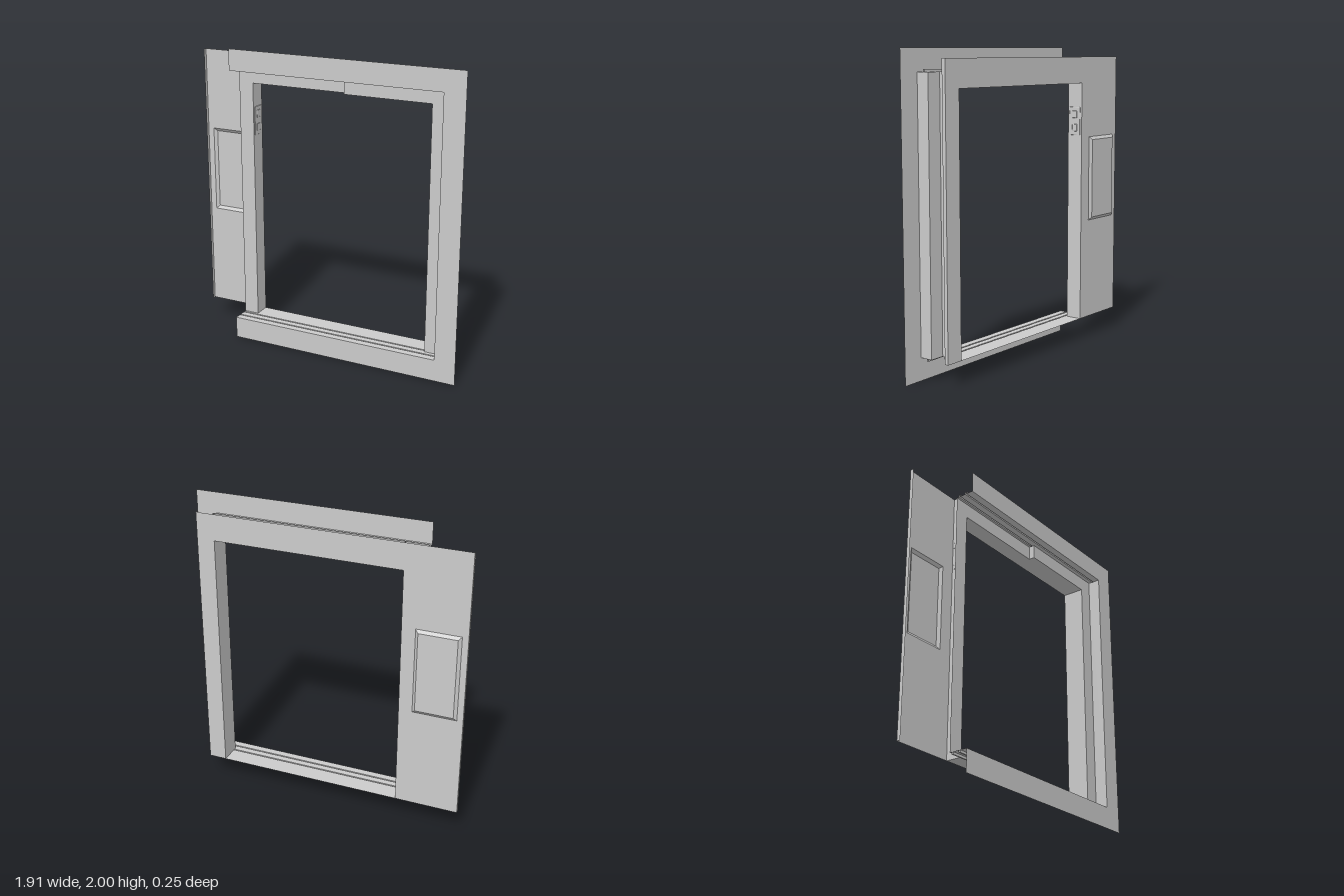
import * as THREE from 'three';
import { RoundedBoxGeometry } from 'three/addons/geometries/RoundedBoxGeometry.js';

const material = new THREE.MeshStandardMaterial({ color: 0xcccccc, side: THREE.DoubleSide });

// Main levels of the opening
const FRONT = 0.125, BACK = -0.11, LIP = -0.085, STEP = 0.04, MID = 0;
const SILL = 0.145, HEAD = 1.86, SOFFIT = 1.765, TOP = 1.94;
const OUT_L = -0.64, IN_L = -0.54, IN_R = 0.71, OUT_R = 0.81, SPLIT = 0.13;

export function createModel() {
  const model = new THREE.Group();
  model.name = 'slidingDoorFrame';

  const add = (name, geometry) => {
    const mesh = new THREE.Mesh(geometry, material);
    mesh.name = name;
    model.add(mesh);
    return mesh;
  };

  // Flat-shaded sheet between two matching rows of [x, y, z] points
  const sheet = (name, a, b) => {
    const pos = [];
    for (let i = 0; i < a.length - 1; i++) {
      pos.push(...a[i], ...a[i + 1], ...b[i + 1], ...a[i], ...b[i + 1], ...b[i]);
    }
    const g = new THREE.BufferGeometry();
    g.setAttribute('position', new THREE.Float32BufferAttribute(pos, 3));
    g.computeVertexNormals();
    return add(name, g);
  };

  // Sheet from a [z, y] section, run along x
  const alongX = (name, x0, x1, section) => sheet(name,
    section.map(([z, y]) => [x0, y, z]), section.map(([z, y]) => [x1, y, z]));

  // Sheet from an [x, z] section, run along y
  const alongY = (name, y0, y1, section) => sheet(name,
    section.map(([x, z]) => [x, y0, z]), section.map(([x, z]) => [x, y1, z]));

  const flat = (name, points, z, hole) => {
    const shape = new THREE.Shape(points.map(p => new THREE.Vector2(...p)));
    if (hole) shape.holes.push(new THREE.Path(hole.map(p => new THREE.Vector2(...p))));
    add(name, new THREE.ShapeGeometry(shape)).position.z = z;
  };

  const rect = (x0, y0, x1, y1) => [[x0, y0], [x1, y0], [x1, y1], [x0, y1]];

  // Front trim, open on the left side
  flat('frontTrim', [[OUT_L, 0], [0.95, 0], [0.95, 2], [OUT_L, 2],
    [OUT_L, HEAD], [OUT_R, HEAD], [OUT_R, SILL], [OUT_L, SILL]], FRONT);

  // Sill and head, with a narrow track groove in each run
  const grooved = (z0, z1, zg, y, d) => [[z0, y], [zg + 0.005, y], [zg + 0.005, y + d],
    [zg - 0.005, y + d], [zg - 0.005, y], [z1, y]];
  alongX('frontSillTrack', OUT_L, OUT_R, grooved(FRONT, STEP, 0.072, SILL, -0.015));
  alongX('rearSillTrack', OUT_L, IN_R, grooved(STEP, MID, 0.02, SILL, -0.015));
  alongX('sill', IN_L, IN_R, [[MID, SILL], [BACK, SILL]]);
  alongX('frontHeadTrack', OUT_L, OUT_R, grooved(FRONT, STEP, 0.072, HEAD, 0.015));
  alongX('rearHeadTrack', OUT_L, SPLIT, grooved(STEP, MID, 0.02, HEAD, 0.015));

  // Lintel, stepping forward on its right half
  alongX('lintelSetBack', IN_L, SPLIT, [[MID, HEAD], [MID, SOFFIT], [BACK, SOFFIT]]);
  alongX('lintelForward', SPLIT, IN_R, [[STEP, HEAD], [STEP, SOFFIT], [BACK, SOFFIT]]);
  alongY('lintelStep', SOFFIT, HEAD, [[SPLIT, MID], [SPLIT, STEP]]);

  // Side jambs
  alongY('leftSideJamb', SILL, HEAD, [[OUT_R, FRONT], [OUT_R, STEP], [IN_R, STEP], [IN_R, BACK]]);
  alongY('rightSideJamb', SILL, HEAD, [[OUT_L, MID], [IN_L, MID], [IN_L, BACK]]);

  // Back casing: wide panel with an opening for its raised field, lintel face, narrow panel
  const field = rect(-0.92, 0.825, -0.63, 1.4);
  flat('widePanel', rect(-0.96, SILL, IN_L, TOP), BACK, field);
  flat('lintelBack', rect(IN_L, SOFFIT, IN_R, TOP), BACK);
  flat('narrowPanel', rect(IN_R, SILL, 0.83, TOP), BACK);
  for (const x of [-0.96, 0.83]) {
    alongY('casingLip', SILL, TOP, [[x, LIP], [x, BACK]]);
  }
  for (const x of [IN_L, IN_R]) {
    alongY('casingSeam', HEAD, TOP, [[x, LIP], [x, BACK]]);
  }

  // Raised field on the back, with sloped sides
  const inner = rect(-0.90, 0.845, -0.65, 1.38);
  const loop = (pts, z) => [...pts, pts[0]].map(([x, y]) => [x, y, z]);
  sheet('raisedFieldBevel', loop(field, BACK), loop(inner, -0.125));
  flat('raisedField', inner, -0.125);

  // Control plate on the side jamb, with two rounded buttons
  const plate = add('controlPlate', new RoundedBoxGeometry(0.008, 0.19, 0.085, 2, 0.003));
  plate.position.set(IN_L, 1.51, -0.055);
  for (const y of [1.465, 1.555]) {
    const button = add('controlButton', new RoundedBoxGeometry(0.014, 0.05, 0.04, 2, 0.005));
    button.position.set(IN_L, y, -0.055);
  }

  return model;
}
